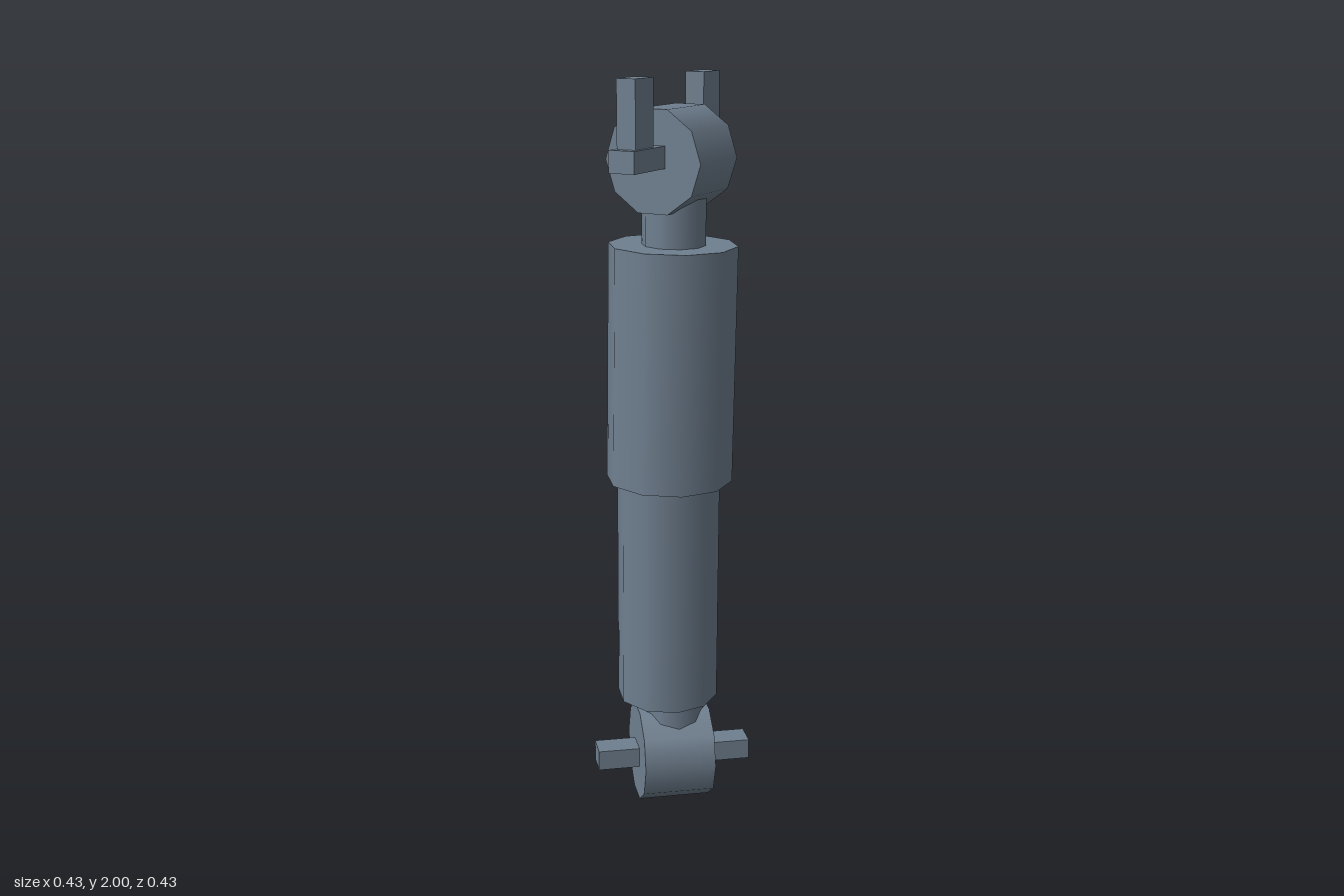
import * as THREE from 'three';

const SIDES = 10;

export function createModel() {
  const model = new THREE.Group();
  const steel = new THREE.MeshStandardMaterial({ color: 0x708090 });
  steel.name = 'slate steel';

  const add = (parent, name, geometry, x = 0, y = 0, z = 0) => {
    const mesh = new THREE.Mesh(geometry, steel);
    mesh.name = name;
    mesh.position.set(x, y, z);
    parent.add(mesh);
    return mesh;
  };

  // Ten-sided closed cylinder running between two points
  const tube = (name, radius, from, to) => {
    const a = new THREE.Vector3(...from), b = new THREE.Vector3(...to);
    const dir = b.clone().sub(a);
    const mesh = add(model, name, new THREE.CylinderGeometry(radius, radius, dir.length(), SIDES));
    mesh.position.copy(a).add(b).multiplyScalar(0.5);
    mesh.quaternion.setFromUnitVectors(new THREE.Vector3(0, 1, 0), dir.normalize());
  };

  // Mounting eye lying along local x, with a square pin through it
  const mount = (name, y, z, pinLength, pinY) => {
    const group = new THREE.Group();
    group.name = name;
    group.position.set(-0.003, y, z);
    const eye = new THREE.CylinderGeometry(0.137, 0.137, 0.197, SIDES).rotateZ(Math.PI / 2);
    add(group, name + 'Eye', eye);
    add(group, name + 'Pin', new THREE.BoxGeometry(pinLength, 0.056, 0.072), 0.002, pinY, 0);
    model.add(group);
    return group;
  };

  // Damper body: wide sleeve over a narrower, slightly tilted cylinder
  tube('upperSleeve', 0.17, [-0.008, 0.935, -0.008], [0.001, 1.57, 0]);
  tube('lowerCylinder', 0.139, [-0.0105, 0.3, -0.024], [-0.0105, 0.96, -0.007]);

  // Short necks joining the body to the eyes
  tube('lowerNeck', 0.084, [0.002, 0.14, 0], [0.002, 0.33, 0]);
  tube('upperNeck', 0.084, [0.002, 1.54, 0.004], [0.002, 1.74, 0.004]);

  // Lower mount
  const lower = mount('lowerMount', 0.134, -0.004, 0.43, -0.006);
  lower.rotation.z = -0.01;

  // Upper mount, turned about the vertical, with two upright prongs
  const upper = mount('upperMount', 1.79, 0.001, 0.504, 0.013);
  upper.rotation.y = 0.863;
  for (const side of [-1, 1]) {
    add(upper, side < 0 ? 'rightProng' : 'leftProng',
      new THREE.BoxGeometry(0.088, 0.19, 0.053), side * 0.174 - 0.008, 0.115, 0);
  }

  return model;
}
